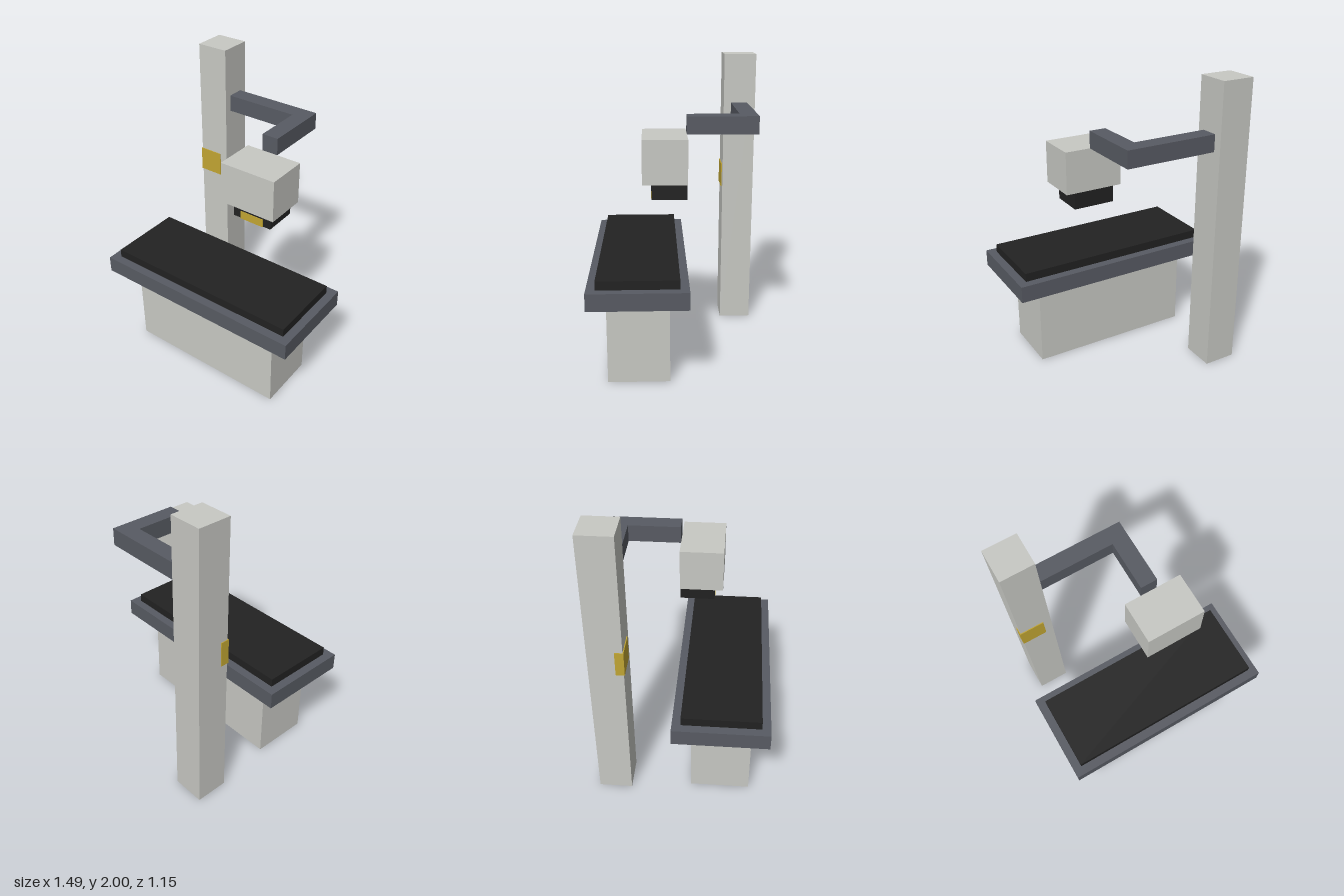
import * as THREE from 'three';

const mat = (name, color) => {
  const m = new THREE.MeshStandardMaterial({ color });
  m.name = name;
  return m;
};

export function createModel() {
  const model = new THREE.Group();
  model.name = 'scannerStation';
  const lightGrey = mat('lightGrey', 0xc8c9c4);
  const slate = mat('slate', 0x585b63);
  const black = mat('black', 0x222222);
  const yellow = mat('yellow', 0xc2a633);

  // Box given by its extents along each axis
  const block = (name, material, [x0, x1], [y0, y1], [z0, z1], parent = model) => {
    const mesh = new THREE.Mesh(new THREE.BoxGeometry(x1 - x0, y1 - y0, z1 - z0), material);
    mesh.position.set((x0 + x1) / 2, (y0 + y1) / 2, (z0 + z1) / 2);
    mesh.name = name;
    parent.add(mesh);
    return mesh;
  };
  const group = (name) => {
    const g = new THREE.Group();
    g.name = name;
    model.add(g);
    return g;
  };

  // Table: pedestal, overhanging top and dark pad
  const table = group('table');
  block('pedestal', lightGrey, [-0.57, 0.57], [0, 0.573], [0.06, 0.46], table);
  block('tableTop', slate, [-0.743, 0.743], [0.573, 0.687], [-0.058, 0.573], table);
  block('tablePad', black, [-0.686, 0.686], [0.687, 0.745], [0, 0.515], table);

  // Column with a yellow label wrapped around its front corner
  const column = group('column');
  block('post', lightGrey, [-0.625, -0.402], [0, 2], [-0.573, -0.35], column);
  block('label', yellow, [-0.63, -0.458], [1.03, 1.202], [-0.401, -0.344], column);

  // L-shaped arm
  const arm = group('arm');
  block('sideArm', slate, [-0.402, 0.113], [1.545, 1.66], [-0.516, -0.401], arm);
  block('frontArm', slate, [0.113, 0.227], [1.545, 1.66], [-0.516, -0.058], arm);

  // Head with collimator and yellow aperture
  const head = group('head');
  block('headHousing', lightGrey, [0, 0.398], [1.26, 1.545], [-0.058, 0.228], head);
  block('collimator', black, [0.057, 0.342], [1.15, 1.26], [-0.058, 0.171], head);
  block('aperture', yellow, [0.112, 0.285], [1.146, 1.203], [0, 0.174], head);

  return model;
}
